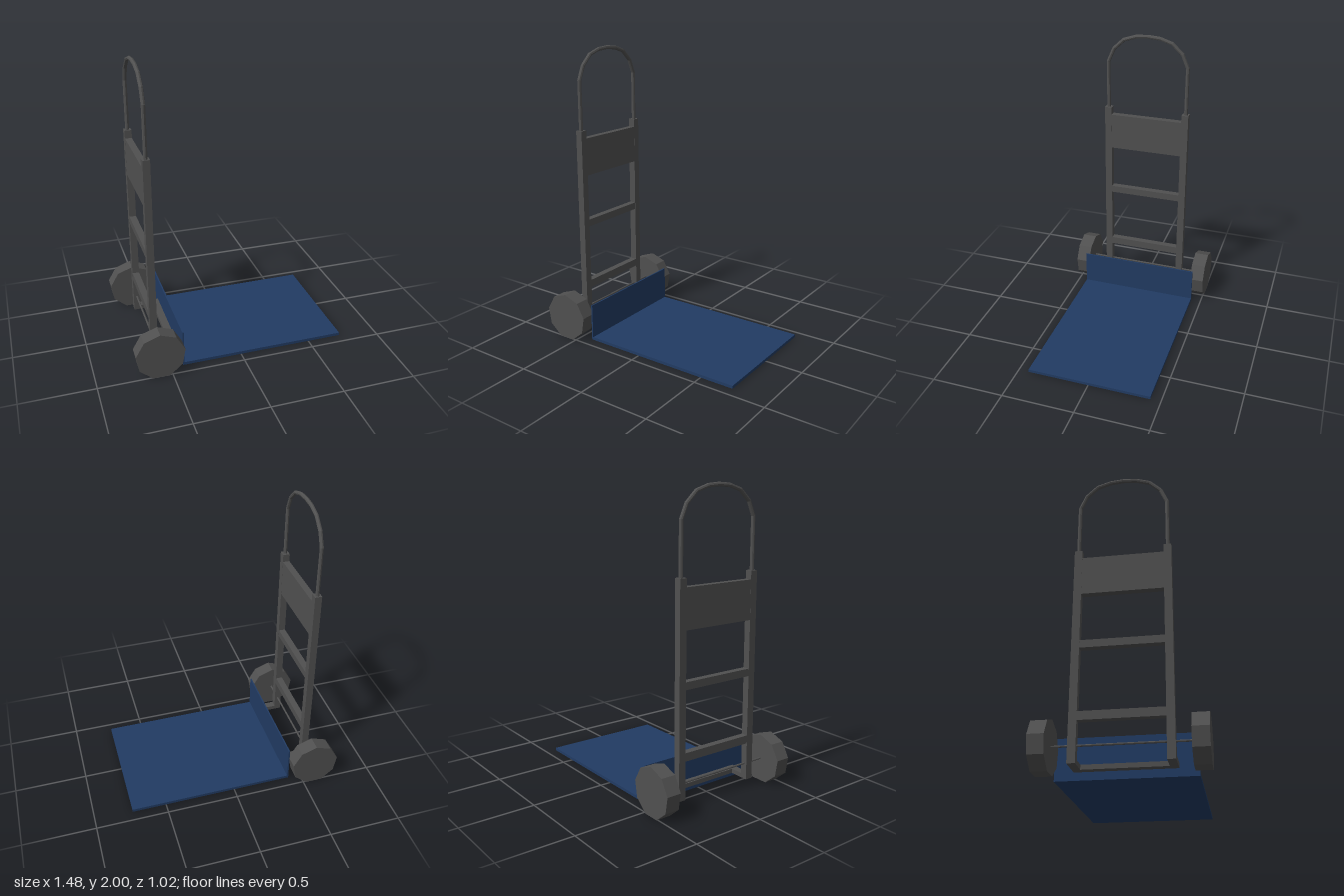
import * as THREE from 'three';

const grey = new THREE.MeshStandardMaterial({ color: 0x505050, flatShading: true });
grey.name = 'frame grey';
const blue = new THREE.MeshStandardMaterial({ color: 0x213b63, flatShading: true });
blue.name = 'plate blue';

// Straight-sided path with one tube ring on each point
class Polyline extends THREE.Curve {
  constructor(points) { super(); this.points = points; }
  getPoint(t, target = new THREE.Vector3()) {
    const n = this.points.length - 1;
    const i = Math.min(Math.floor(t * n + 1e-9), n - 1);
    return target.lerpVectors(this.points[i], this.points[i + 1], t * n - i);
  }
  getUtoTmapping(u) { return u; }
}

export function createModel() {
  const group = new THREE.Group();
  const add = (name, geometry, material) => {
    const mesh = new THREE.Mesh(geometry, material);
    mesh.name = name;
    group.add(mesh);
    return mesh;
  };
  // Box given by its limits on each axis
  const box = (name, material, x0, x1, y0, y1, z0, z1) =>
    add(name, new THREE.BoxGeometry(x1 - x0, y1 - y0, z1 - z0), material)
      .position.set((x0 + x1) / 2, (y0 + y1) / 2, (z0 + z1) / 2);

  const axleX = -0.577, axleY = 0.158, back = -0.601, front = -0.553;

  for (const s of [-1, 1]) {
    // Uprights and the feet that reach forward to the plate
    box('upright', grey, back, front, 0.05, 1.45, s * 0.285 - 0.025, s * 0.285 + 0.025);
    box('footArm', grey, front, -0.464, 0.05, 0.08, s * 0.285 - 0.025, s * 0.285 + 0.025);

    // Nine-sided wheels with a corner at the top
    const wheelGeometry = new THREE.CylinderGeometry(0.167, 0.167, 0.1, 9);
    wheelGeometry.rotateX(-Math.PI / 2);
    add('wheel', wheelGeometry, grey).position.set(axleX, axleY, s * 0.459);
  }
  box('footBar', grey, -0.464, -0.412, 0.05, 0.08, -0.31, 0.31);

  // Rungs and upper panel between the uprights
  for (const [name, y0, y1] of [['rung', 0.305, 0.36], ['rung', 0.765, 0.815], ['backPanel', 1.135, 1.395]])
    box(name, grey, back + 0.001, front - 0.001, y0, y1, -0.262, 0.262);

  // Axle
  const axle = new THREE.CylinderGeometry(0.007, 0.007, 0.84, 8);
  axle.rotateX(Math.PI / 2);
  add('axle', axle, grey).position.set(axleX, axleY, 0);

  // Hoop handle, mirrored about the middle
  const half = [[0.287, 1.43], [0.287, 1.69], [0.287, 1.79], [0.247, 1.883], [0.174, 1.952], [0.087, 1.98]];
  const profile = [...half, [0, 1.987], ...half.slice().reverse().map(([z, y]) => [-z, y])];
  const path = new Polyline(profile.map(([z, y]) => new THREE.Vector3(axleX, y, z)));
  add('handle', new THREE.TubeGeometry(path, profile.length - 1, 0.0135, 8, false), grey);

  // Load plate and its upright lip
  box('loadPlate', blue, -0.412, 0.737, 0, 0.02, -0.428, 0.428);
  box('plateLip', blue, -0.412, -0.402, 0.02, 0.26, -0.428, 0.428);

  return group;
}
